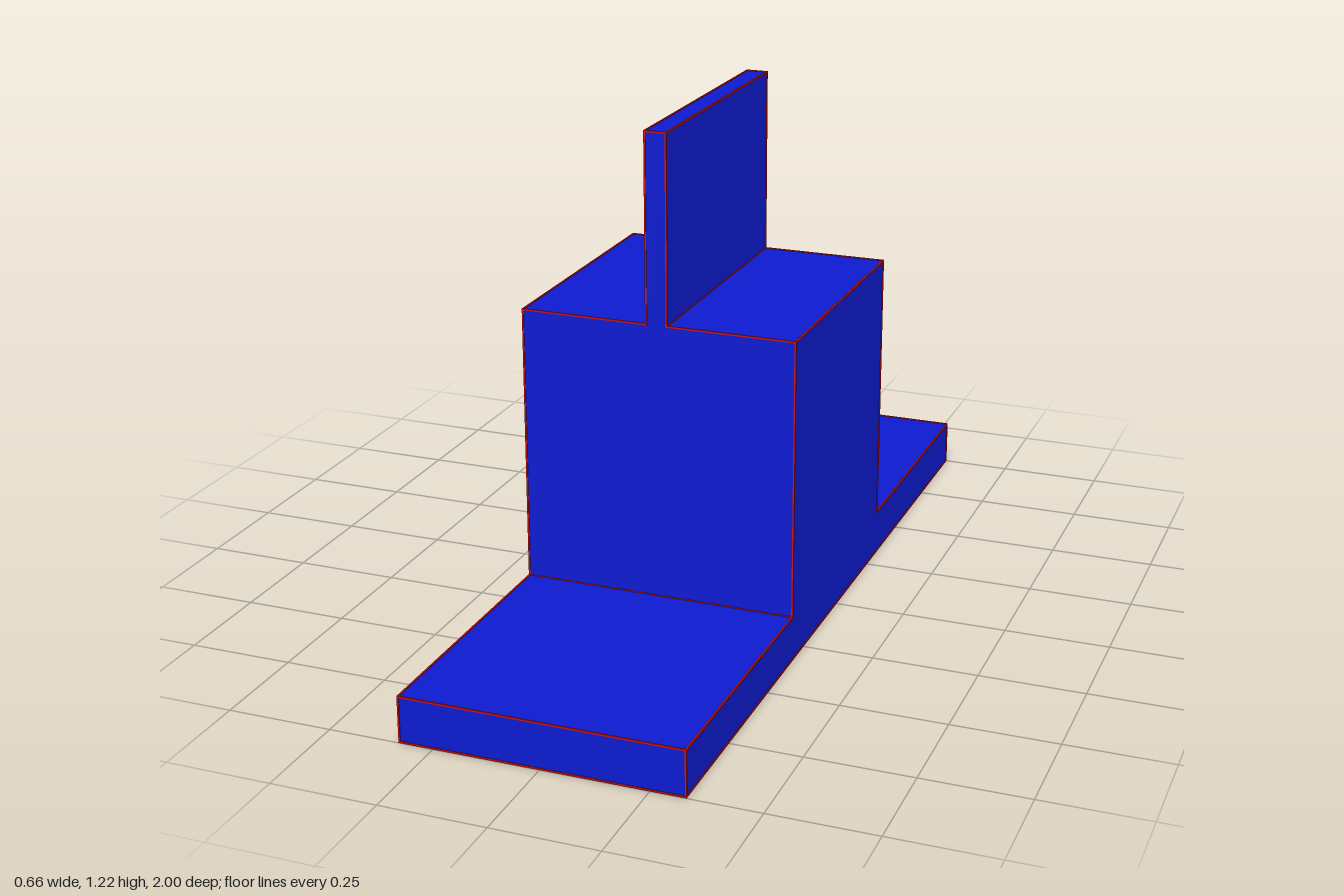
import * as THREE from 'three';

const T = 0.004;                            // thickness of the edge trim
const W = 0.33, L = 1 - T / 2, B = 0.33;    // half width, half length, half block depth
const F = 0.025;                            // half fin thickness
const Y0 = T / 2, Y1 = 0.11, Y2 = 0.775, Y3 = 1.22;

export function createModel() {
  const model = new THREE.Group();
  const blue = new THREE.MeshStandardMaterial({ color: 0x0d1bd0 });
  const red = new THREE.MeshStandardMaterial({ color: 0xd01010 });

  // Base plate and central block: one stepped profile run across the width
  const profile = new THREE.Shape([
    [-L, Y0], [L, Y0], [L, Y1], [B, Y1], [B, Y2], [-B, Y2], [-B, Y1], [-L, Y1],
  ].map(([x, y]) => new THREE.Vector2(x, y)));
  const bodyGeo = new THREE.ExtrudeGeometry(profile, { depth: 2 * W, bevelEnabled: false });
  bodyGeo.translate(0, 0, -W).rotateY(Math.PI / 2);
  const body = new THREE.Mesh(bodyGeo, blue);
  body.name = 'baseAndBlock';
  model.add(body);

  // Upright fin on the block
  const fin = new THREE.Mesh(new THREE.BoxGeometry(2 * F, Y3 - Y2, 2 * B), blue);
  fin.position.y = (Y2 + Y3) / 2;
  fin.name = 'fin';
  model.add(fin);

  // Thin coloured trim along every edge
  const trim = new THREE.Group();
  trim.name = 'edgeTrim';
  const edge = (a, b) => {
    const size = a.map((v, i) => Math.abs(b[i] - v) + T);
    const mesh = new THREE.Mesh(new THREE.BoxGeometry(...size), red);
    mesh.position.set(...a.map((v, i) => (v + b[i]) / 2));
    mesh.name = 'edge';
    trim.add(mesh);
  };
  for (const s of [-1, 1]) {
    // Edges running across
    for (const [y, z] of [[Y0, L], [Y1, L], [Y1, B]]) edge([-W, y, s * z], [W, y, s * z]);
    edge([-F, Y3, s * B], [F, Y3, s * B]);
    // Edges running front to back
    edge([s * W, Y0, -L], [s * W, Y0, L]);
    for (const [x, y] of [[W, Y2], [F, Y2], [F, Y3]]) edge([s * x, y, -B], [s * x, y, B]);
    // Edges repeated at all four corners
    for (const t of [-1, 1]) {
      edge([s * W, Y0, t * L], [s * W, Y1, t * L]);
      edge([s * W, Y1, t * B], [s * W, Y1, t * L]);
      edge([s * W, Y1, t * B], [s * W, Y2, t * B]);
      edge([s * F, Y2, t * B], [s * W, Y2, t * B]);
      edge([s * F, Y2, t * B], [s * F, Y3, t * B]);
    }
  }
  model.add(trim);
  return model;
}
